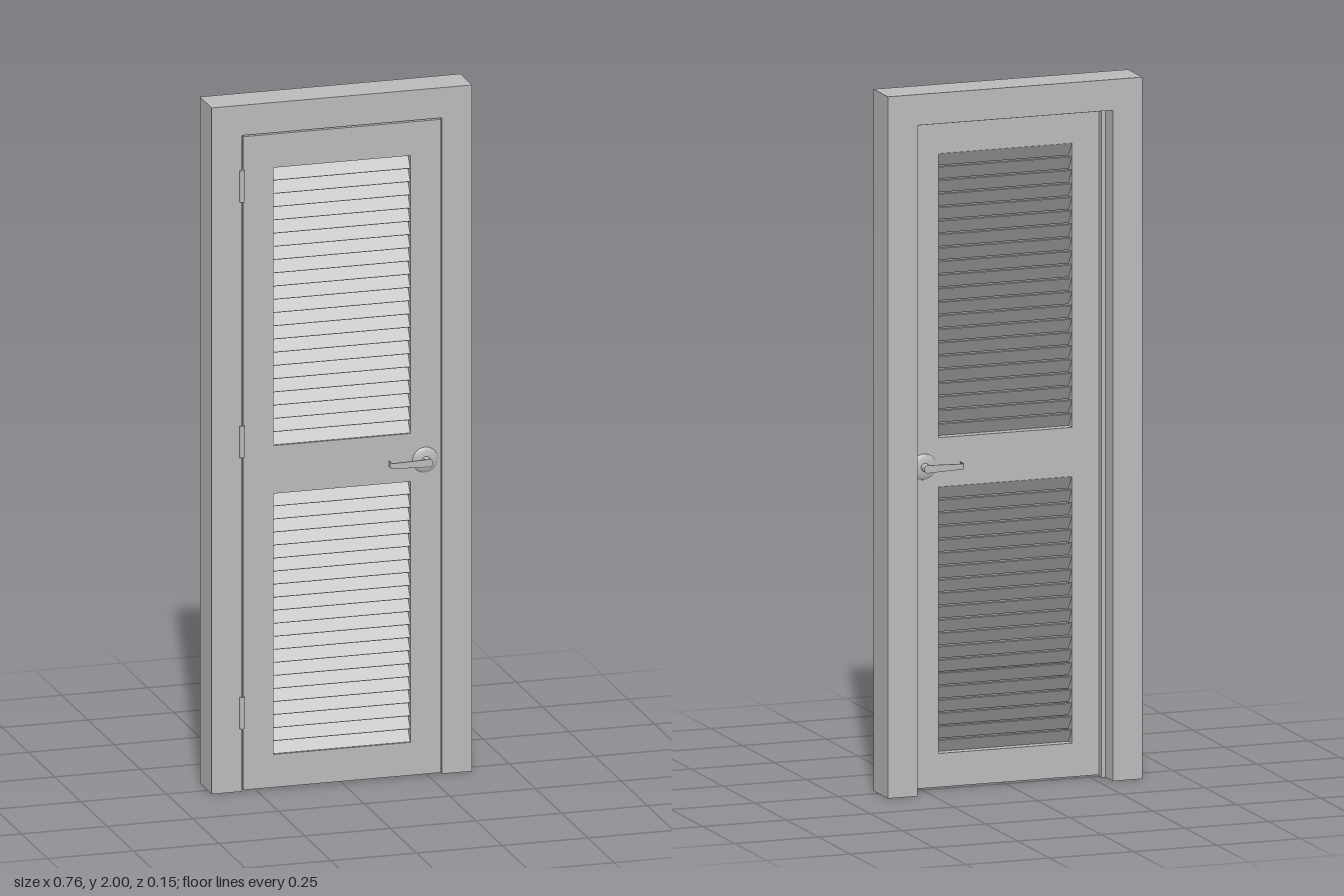
import * as THREE from 'three';
import { toCreasedNormals } from 'three/addons/utils/BufferGeometryUtils.js';

const FRONT = 0.038, BACK = -0.075, DOOR_BACK = 0.003;
const PANELS = [[0.1, 0.86, 20], [1.0, 1.81, 21]]; // bottom, top, slat count

function add(parent, name, geometry, material, x = 0, y = 0, z = 0) {
  const mesh = new THREE.Mesh(geometry, material);
  mesh.name = name;
  mesh.position.set(x, y, z);
  parent.add(mesh);
  return mesh;
}

const polygon = (pts) => new THREE.Shape(pts.map(([x, y]) => new THREE.Vector2(x, y)));

// Upside-down U around an opening
function surround(outer, outerTop, inner, innerTop, z0, z1) {
  const shape = polygon([
    [inner, 0], [outer, 0], [outer, outerTop], [-outer, outerTop],
    [-outer, 0], [-inner, 0], [-inner, innerTop], [inner, innerTop],
  ]);
  return new THREE.ExtrudeGeometry(shape, { depth: z1 - z0, bevelEnabled: false }).translate(0, 0, z0);
}

function makeDoorLeaf() {
  const shape = polygon([[-0.288, 0.004], [0.289, 0.004], [0.289, 1.908], [-0.288, 1.908]]);
  for (const [b, t] of PANELS) {
    shape.holes.push(polygon([[-0.2, b], [-0.2, t], [0.2, t], [0.2, b]]));
  }
  return new THREE.ExtrudeGeometry(shape, { depth: FRONT - DOOR_BACK, bevelEnabled: false })
    .translate(0, 0, DOOR_BACK);
}

// Lever handle standing on z = 0 and pointing to -x
function makeHandle(material) {
  const handle = new THREE.Group();
  const rose = new THREE.LatheGeometry(
    [[0.037, 0], [0.036, 0.003], [0.026, 0.007], [0.012, 0.009], [0, 0.009]]
      .map(([r, h]) => new THREE.Vector2(r, h)), 28);
  add(handle, 'rose', rose.rotateX(Math.PI / 2), material);
  const neck = toCreasedNormals(new THREE.CylinderGeometry(0.012, 0.012, 0.036, 20), 0.6);
  add(handle, 'neck', neck.rotateX(Math.PI / 2), material, 0, 0, 0.018);

  // Flat lever with its tip curled back to the door
  const s = new THREE.Shape();
  s.moveTo(0, 0.036);
  s.lineTo(-0.1, 0.036);
  s.quadraticCurveTo(-0.109, 0.036, -0.109, 0.026);
  s.lineTo(-0.109, 0.009);
  s.lineTo(-0.105, 0.009);
  s.lineTo(-0.105, 0.026);
  s.quadraticCurveTo(-0.105, 0.032, -0.1, 0.032);
  s.lineTo(0, 0.032);
  const lever = new THREE.ExtrudeGeometry(s, { depth: 0.02, bevelEnabled: false, curveSegments: 6 })
    .translate(0, 0, -0.01).rotateX(Math.PI / 2);
  const p = lever.attributes.position;
  for (let i = 0; i < p.count; i++) { // narrow towards the tip
    p.setY(i, p.getY(i) * (1.1 + 3 * p.getX(i)));
  }
  add(handle, 'lever', toCreasedNormals(lever, 0.6), material);
  return handle;
}

export function createModel() {
  const model = new THREE.Group();
  model.name = 'louveredDoor';
  const grey = new THREE.MeshStandardMaterial({ color: 0xbbbbbb });
  grey.name = 'grey paint';

  // Fixed frame and the thin stop the leaf closes against
  add(model, 'frame', surround(0.38, 2, 0.292, 1.912, BACK, FRONT), grey);
  add(model, 'doorStop', surround(0.292, 1.912, 0.279, 1.899, -0.018, DOOR_BACK - 0.001), grey);

  const door = new THREE.Group();
  door.name = 'door';
  model.add(door);
  add(door, 'doorLeaf', makeDoorLeaf(), grey);

  // Louvre slats sloping down towards the front
  const midZ = (FRONT + DOOR_BACK) / 2;
  for (const [bottom, top, count] of PANELS) {
    const pitch = (top - bottom) / count;
    const tilt = Math.atan2(pitch, 0.025);
    const slat = new THREE.BoxGeometry(0.4, 0.004, Math.hypot(pitch, 0.025)).rotateX(tilt);
    for (let i = 0; i < count; i++) {
      add(door, 'slat', slat, grey, 0, bottom + (i + 0.5) * pitch, midZ);
    }
  }

  // Handles on both faces
  const frontHandle = makeHandle(grey);
  frontHandle.name = 'frontHandle';
  frontHandle.position.set(0.243, 0.92, FRONT);
  const backHandle = makeHandle(grey);
  backHandle.name = 'backHandle';
  backHandle.position.set(0.243, 0.92, DOOR_BACK);
  backHandle.scale.z = -1;
  door.add(frontHandle, backHandle);

  // Hinge barrels
  const barrel = toCreasedNormals(new THREE.CylinderGeometry(0.007, 0.007, 0.092, 16), 0.6);
  for (const y of [0.23, 1.02, 1.765]) add(model, 'hinge', barrel, grey, -0.292, y, 0.04);

  return model;
}
